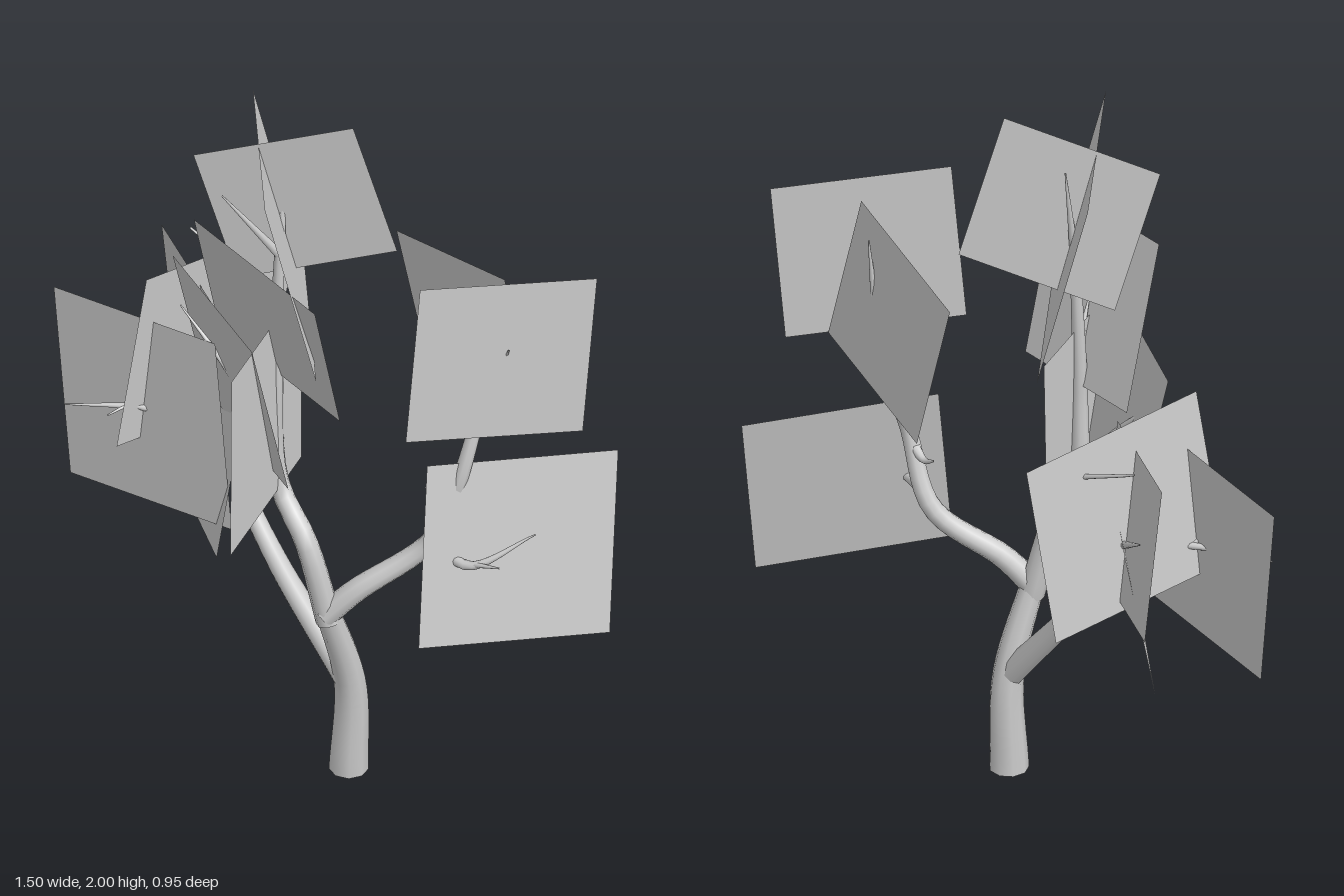
import * as THREE from 'three';

const bark = new THREE.MeshStandardMaterial({ color: 0xcccccc });
const leaf = new THREE.MeshStandardMaterial({ color: 0xcccccc, side: THREE.DoubleSide });

// Round limb through a few points, tapering from radius r0 to r1
function limb(name, r0, r1, ...points) {
  const curve = new THREE.CatmullRomCurve3(points.map(p => new THREE.Vector3(...p)), false, 'centripetal');
  const rings = points.length * 5, sides = 9;
  const geo = new THREE.TubeGeometry(curve, rings, 1, sides);
  const pos = geo.attributes.position, v = new THREE.Vector3();
  for (let n = 0; n < pos.count; n++) {
    const t = Math.floor(n / (sides + 1)) / rings;
    const centre = curve.getPointAt(t);
    v.fromBufferAttribute(pos, n).sub(centre).multiplyScalar(THREE.MathUtils.lerp(r0, r1, t)).add(centre);
    pos.setXYZ(n, v.x, v.y, v.z);
  }
  const mesh = new THREE.Mesh(geo, bark);
  mesh.name = name;
  return mesh;
}

// Thin pointed branch from root to tip, its elbow raised or lowered by bend
function twig(root, tip, radius, bend) {
  const elbow = root.map((v, i) => (v + tip[i]) / 2 + (i === 1 ? bend : 0));
  return limb('twig', radius, 0.002, root, elbow, tip);
}

// Square leaf card hung from its top edge a-b, swung about that edge by tilt
function card(a, b, tilt) {
  const A = new THREE.Vector3(...a);
  const across = new THREE.Vector3(...b).sub(A), size = across.length();
  const side = across.clone().normalize();
  const down = new THREE.Vector3(0, -1, 0).projectOnPlane(side).normalize().applyAxisAngle(side, tilt);
  const geo = new THREE.PlaneGeometry(size, size);
  geo.applyMatrix4(new THREE.Matrix4().makeBasis(side, down.clone().negate(), down.clone().cross(side)));
  const mesh = new THREE.Mesh(geo, leaf);
  mesh.name = 'leafCard';
  mesh.position.copy(A).addScaledVector(across, 0.5).addScaledVector(down, size / 2);
  return mesh;
}

export function createModel() {
  const tree = new THREE.Group();
  tree.name = 'tree';

  // Trunk with its closed underside
  tree.add(limb('trunk', 0.052, 0.032, [0.07, 0, 0.1], [0.075, 0.28, 0.11], [0.025, 0.54, 0.17]));
  const base = new THREE.Mesh(new THREE.CircleGeometry(0.052, 9).rotateX(Math.PI / 2), bark);
  base.name = 'trunkBase';
  base.position.set(0.07, 0, 0.1);
  tree.add(base);

  // Three main boughs
  tree.add(
    limb('middleBough', 0.035, 0.013, [0.03, 0.5, 0.165], [-0.03, 0.74, 0.165], [-0.11, 0.87, 0.1],
      [-0.12, 1.2, 0.1], [-0.11, 1.62, 0.09]),
    limb('leftBough', 0.036, 0.02, [0.07, 0.28, 0.11], [-0.14, 0.58, 0.01], [-0.23, 0.74, -0.06], [-0.25, 0.9, -0.11]),
    limb('rightBough', 0.034, 0.016, [0.02, 0.52, 0.17], [0.1, 0.6, 0.16], [0.28, 0.74, 0.12],
      [0.36, 0.95, 0.16], [0.42, 1.2, 0.11]));

  // Branches and twigs of the middle bough
  tree.add(
    twig([-0.12, 0.95, 0.09], [-0.39, 1.3, -0.04], 0.018, 0.03),
    twig([-0.11, 1.3, 0.1], [-0.12, 1.43, 0.18], 0.015, 0),
    twig([-0.11, 1.58, 0.09], [-0.25, 1.8, 0.16], 0.013, 0),
    twig([-0.11, 1.6, 0.09], [-0.1, 1.9, 0.04], 0.013, 0));

  // Branches of the left bough
  tree.add(
    twig([-0.25, 0.88, -0.11], [-0.43, 1.08, -0.37], 0.022, 0),
    limb('branch', 0.016, 0.003, [-0.34, 0.97, -0.22], [-0.19, 1.16, -0.28], [-0.42, 1.3, -0.38]),
    twig([-0.25, 0.88, -0.11], [-0.7, 0.91, -0.1], 0.018, 0.025),
    twig([-0.48, 0.92, -0.1], [-0.58, 0.93, -0.04], 0.009, 0.02));

  // Branches of the right bough
  tree.add(
    limb('branch', 0.02, 0.002, [0.3, 0.78, 0.13], [0.4, 0.76, 0.23], [0.57, 0.85, 0.19]),
    twig([0.39, 0.76, 0.22], [0.49, 0.79, 0.27], 0.01, 0),
    twig([0.34, 0.9, 0.15], [0.27, 0.9, 0.1], 0.016, -0.02),
    twig([0.42, 1.18, 0.11], [0.44, 1.56, 0.08], 0.018, 0),
    twig([0.43, 1.24, 0.09], [0.51, 1.46, 0.24], 0.013, -0.02));

  // Leaf cards of the right bough
  tree.add(
    card([0.29, 1.04, 0.2], [0.75, 0.99, -0.02], -0.18),
    card([0.29, 1.67, 0.31], [0.72, 1.63, 0.13], -0.02),
    card([0.155, 1.53, -0.135], [0.485, 1.62, 0.16], 0.1));

  // Leaf cards of the middle bough
  tree.add(
    card([-0.33, 1.89, 0.12], [0.08, 2, 0.09], 0.1),
    card([-0.1, 1.93, 0.39], [-0.22, 1.92, -0.15], -0.24),
    card([-0.33, 1.68, 0.11], [0.03, 1.62, 0.39], 0.31),
    card([-0.18, 1.41, 0.43], [-0.08, 1.375, -0.08], -0.02),
    card([-0.42, 1.41, -0.1], [-0.15, 1.41, 0.29], 0.22));

  // Leaf cards of the left bough
  tree.add(
    card([-0.755, 1.16, -0.26], [-0.29, 1.23, 0.02], -0.03),
    card([-0.48, 1.36, -0.05], [-0.15, 1.3, -0.455], 0.09),
    card([-0.39, 1.03, -0.375], [-0.21, 1.06, 0.04], -0.18),
    card([-0.5, 1.28, -0.41], [-0.27, 1.23, -0.055], 0.14));
  return tree;
}
